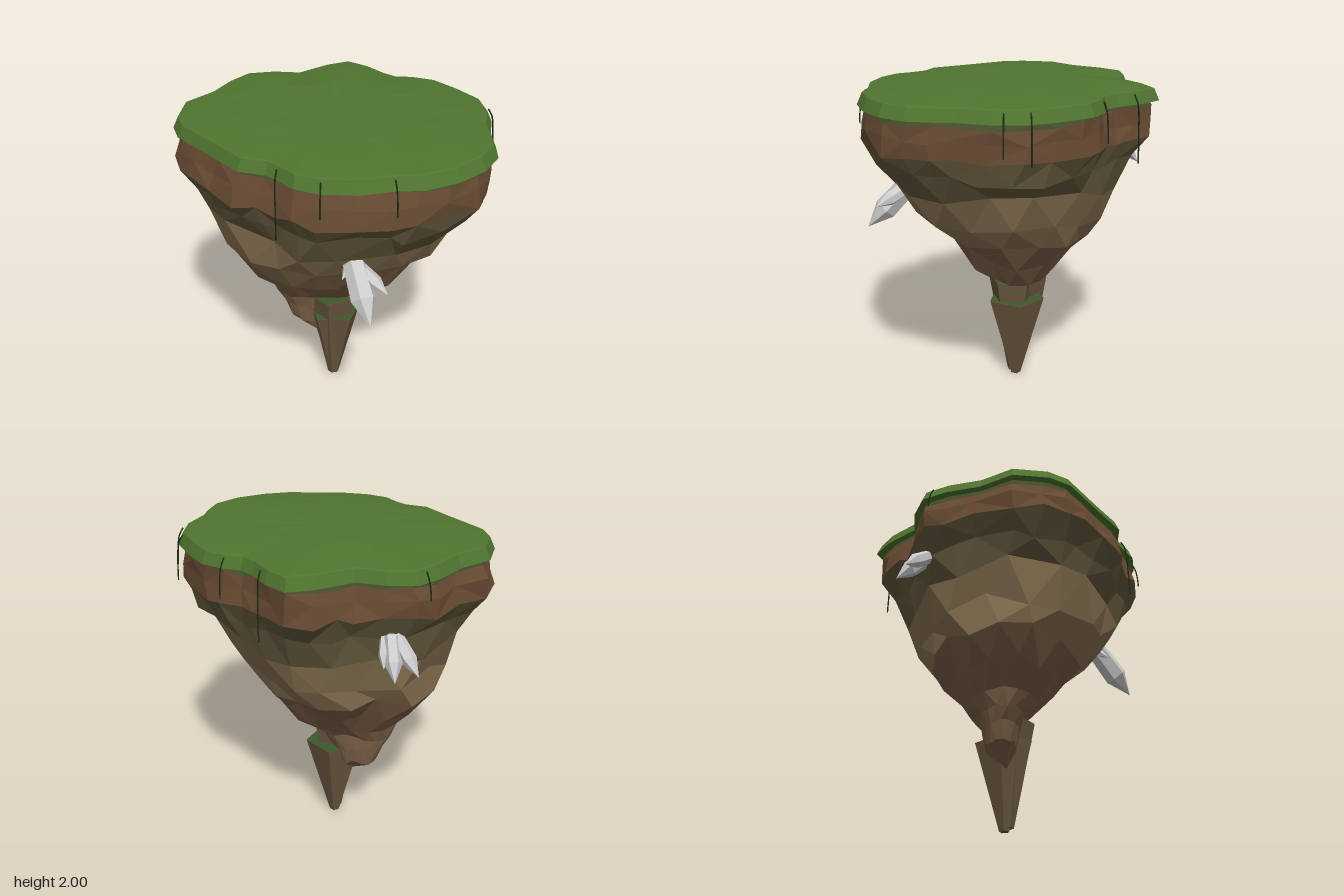
import * as THREE from 'three';

// Island outline seen from above, as x, z pairs
const OUTLINE = [
  [-0.95, -0.02], [-0.83, -0.21], [-0.77, -0.41], [-0.69, -0.56], [-0.53, -0.62], [-0.36, -0.63],
  [-0.29, -0.71], [-0.2, -0.81], [-0.07, -0.9], [0.07, -0.83], [0.2, -0.72], [0.29, -0.67],
  [0.4, -0.68], [0.54, -0.65], [0.69, -0.53], [0.84, -0.38], [0.9, -0.2], [0.9, 0],
  [0.93, 0.13], [0.95, 0.28], [0.89, 0.45], [0.76, 0.61], [0.59, 0.73], [0.45, 0.76],
  [0.26, 0.84], [0.07, 0.86], [-0.08, 0.83], [-0.18, 0.75], [-0.26, 0.7], [-0.41, 0.69],
  [-0.58, 0.55], [-0.72, 0.44], [-0.86, 0.33], [-0.93, 0.2],
];
const N = OUTLINE.length;

let seed = 7;
function jitter(amount) {
  seed = (seed * 16807) % 2147483647;
  return (seed / 2147483647 - 0.5) * 2 * amount;
}

const material = (color) => new THREE.MeshStandardMaterial({ color, flatShading: true });

function addMesh(parent, name, geometry, color) {
  const mesh = new THREE.Mesh(geometry, material(color));
  mesh.name = name;
  parent.add(mesh);
  return mesh;
}

// Skin a stack of rings, listed from bottom to top, with flat facets
function loft(rings) {
  const pos = [];
  const tri = (a, b, c) => {
    const area = b.clone().sub(a).cross(c.clone().sub(a)).length();
    if (area > 1e-7) for (const p of [a, b, c]) pos.push(p.x, p.y, p.z);
  };
  for (let k = 0; k < rings.length - 1; k++) {
    const lo = rings[k], hi = rings[k + 1];
    for (let i = 0; i < N; i++) {
      const j = (i + 1) % N;
      if ((i + k) % 2) {
        tri(lo[j], lo[i], hi[i]);
        tri(lo[j], hi[i], hi[j]);
      } else {
        tri(lo[j], lo[i], hi[j]);
        tri(lo[i], hi[i], hi[j]);
      }
    }
  }
  const geometry = new THREE.BufferGeometry();
  geometry.setAttribute('position', new THREE.Float32BufferAttribute(pos, 3));
  geometry.computeVertexNormals();
  return geometry;
}

// Grass slab: skirt, bevelled rim and gently domed top
function addGrass(parent) {
  const levels = [[0, 1.89], [1, 1.89], [0.965, 1.96], [0.95, 1.965], [0.75, 1.982], [0.5, 1.998], [0, 1.995]];
  const rings = levels.map(([s, y]) => OUTLINE.map(([x, z]) =>
    new THREE.Vector3(x * s, y + (s > 0.4 && s < 0.8 ? jitter(0.003) : 0), z * s)));
  addMesh(parent, 'grassTop', loft(rings), 0x507530);
}

// Rock: each level is y, min x, max x, min z, max z, roundness, roughness
function addRock(parent) {
  const levels = [
    [0.35, -0.13, -0.13, -0.03, -0.03, 1, 0],
    [0.47, -0.32, -0.07, -0.16, 0.03, 1, 0.02],
    [0.57, -0.36, -0.03, -0.18, 0.05, 1, 0.02],
    [0.67, -0.41, 0.08, -0.19, 0.08, 1, 0.02],
    [0.75, -0.44, 0.25, -0.27, 0.17, 0.9, 0.03],
    [0.9, -0.56, 0.37, -0.38, 0.31, 0.8, 0.05],
    [1.05, -0.7, 0.51, -0.51, 0.44, 0.7, 0.05],
    [1.2, -0.74, 0.64, -0.6, 0.6, 0.6, 0.05],
    [1.4, -0.78, 0.76, -0.7, 0.7, 0.5, 0.05],
    [1.55, -0.85, 0.88, -0.77, 0.78, 0.3, 0.035],
    [1.68, -0.96, 0.93, -0.88, 0.86, 0.1, 0.025],
    [1.78, -0.95, 0.925, -0.87, 0.84, 0, 0.02],
    [1.86, -0.92, 0.92, -0.86, 0.82, 0, 0.012],
    [1.9, -0.9, 0.9, -0.84, 0.8, 0, 0],
  ];
  const rings = levels.map(([y, x0, x1, z0, z1, round, rough], k) => {
    const ring = OUTLINE.map(([ax, az], i) => {
      // Slide each corner along the outline, then in or out and up or down
      const [bx, bz] = OUTLINE[(i + 1) % N];
      const t = Math.abs(jitter(rough * 14));
      const u = THREE.MathUtils.lerp(ax, bx, t) / 0.95;
      const v = (THREE.MathUtils.lerp(az, bz, t) + 0.02) / 0.88;
      const s = 1 + (1 / Math.hypot(u, v) - 1) * round + jitter(rough * 0.7);
      return new THREE.Vector3(
        (x0 + x1) / 2 + u * s * (x1 - x0) / 2,
        y + jitter(rough),
        (z0 + z1) / 2 + v * s * (z1 - z0) / 2);
    });
    // Below the rim, flatten every second corner into broad staggered facets
    if (k < 9) {
      for (let i = (k + 1) % 2; i < N; i += 2) ring[i].lerpVectors(ring[(i + N - 1) % N], ring[(i + 1) % N], 0.5);
    }
    return ring;
  });
  const rock = new THREE.Group();
  rock.name = 'rock';
  parent.add(rock);
  addMesh(rock, 'lowerRock', loft(rings.slice(0, 7)), 0x7d6148);
  addMesh(rock, 'middleRock', loft(rings.slice(6, 9)), 0x8a7453);
  addMesh(rock, 'darkRockBand', loft(rings.slice(8, 11)), 0x665a3e);
  addMesh(rock, 'upperRockBand', loft(rings.slice(10, 13)), 0x684b33);
  addMesh(rock, 'mossBand', loft(rings.slice(12)), 0x45502c);
}

// Five-sided tapered stone spike with a mossy cap
function addSpike(parent, name, { x, z, bottom, top, radius, turn }) {
  const spike = new THREE.Group();
  spike.name = name;
  const h = top - bottom;
  addMesh(spike, 'stone', new THREE.CylinderGeometry(radius, 0.032, h, 5), 0x68573f);
  const cap = addMesh(spike, 'mossCap', new THREE.CircleGeometry(radius, 5, -Math.PI / 2), 0x3a5a2a);
  cap.rotation.x = -Math.PI / 2;
  cap.position.y = h / 2 + 0.003;
  spike.position.set(x, bottom + h / 2, z);
  spike.rotation.y = turn;
  parent.add(spike);
}

// Six-sided pointed crystals, each given as base, tip and radius
function addCrystals(parent, name, list) {
  const cluster = new THREE.Group();
  cluster.name = name;
  for (const [base, tip, r] of list) {
    const from = new THREE.Vector3(...base);
    const dir = new THREE.Vector3(...tip).sub(from);
    const L = dir.length();
    const profile = [[0, 0], [r * 0.9, L * 0.1], [r, L * 0.62], [0, L]].map((p) => new THREE.Vector2(...p));
    const crystal = addMesh(cluster, 'crystal', new THREE.LatheGeometry(profile, 6), 0xcccccc);
    crystal.position.copy(from);
    crystal.quaternion.setFromUnitVectors(new THREE.Vector3(0, 1, 0), dir.normalize());
  }
  parent.add(cluster);
}

// Thin vine drooping over the rim
function addVine(parent, x, z, end) {
  const at = (s, y) => new THREE.Vector3(x * s, y, z * s);
  const curve = new THREE.CatmullRomCurve3([
    at(0.97, 1.95), at(1.0, 1.9), at(1.015, (1.9 + end) / 2), at(1.02, end)]);
  addMesh(parent, 'vine', new THREE.TubeGeometry(curve, 8, 0.0045, 4), 0x1f2a14);
}

export function createModel() {
  const model = new THREE.Group();
  model.name = 'floatingIsland';
  addGrass(model);
  addRock(model);

  addSpike(model, 'tallSpike', { x: -0.025, z: -0.01, bottom: 0.02, top: 0.69, radius: 0.163, turn: 0 });
  addSpike(model, 'shortSpike', { x: -0.02, z: -0.035, bottom: 0, top: 0.55, radius: 0.185, turn: Math.PI / 4 });

  addCrystals(model, 'frontCrystals', [
    [[0.19, 1.36, 0.57], [0.34, 1.06, 0.83], 0.075],
    [[0.2, 1.32, 0.58], [0.42, 1.22, 0.73], 0.045],
    [[0.2, 1.34, 0.54], [0.15, 1.25, 0.67], 0.025],
  ]);
  addCrystals(model, 'backCrystals', [
    [[-0.54, 1.58, -0.5], [-0.73, 1.4, -0.64], 0.045],
    [[-0.53, 1.59, -0.52], [-0.615, 1.37, -0.7], 0.05],
    [[-0.5, 1.57, -0.52], [-0.54, 1.43, -0.67], 0.035],
  ]);

  const vines = new THREE.Group();
  vines.name = 'vines';
  for (const [x, z, end] of [
    [-0.19, 0.76, 1.54], [0.07, 0.87, 1.76], [0.45, 0.77, 1.75], [0.9, -0.26, 1.72],
    [0.83, -0.39, 1.67], [0.4, -0.69, 1.72], [0.12, -0.81, 1.55], [-0.73, -0.51, 1.8],
  ]) addVine(vines, x, z, end);
  model.add(vines);
  return model;
}
